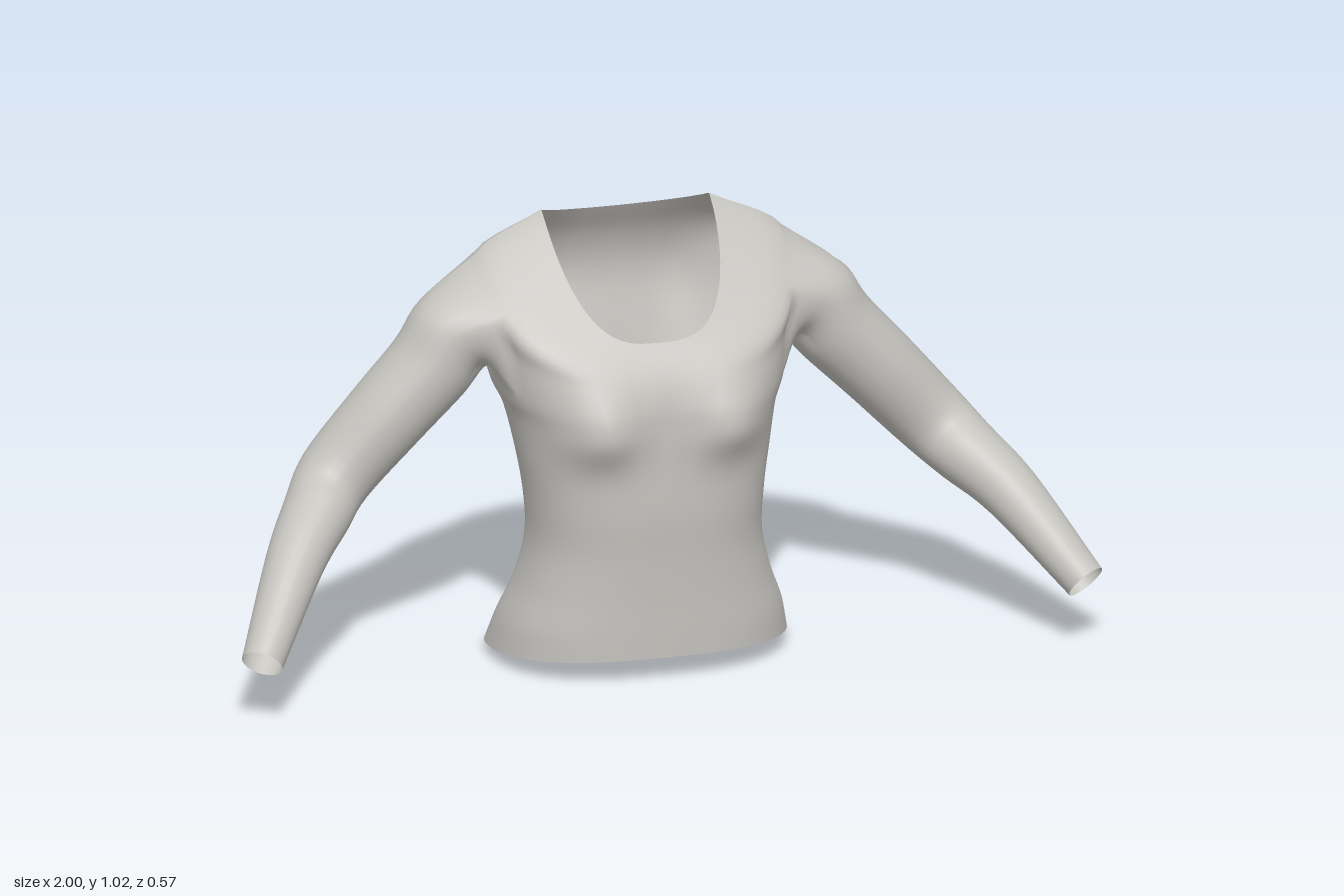
import * as THREE from 'three';

const COLS = 64, STEP = 5;          // columns around the torso, rows between key rings
const ARM = 5;                      // half width of the armhole in columns

// Key rings, hem to collar: half width, z front/side/back, y front/side/back, squareness
const RINGS = [
  [0.34, 0.19, -0.08, -0.28, 0.06, 0.03, 0.005, 0.75],
  [0.322, 0.19, -0.05, -0.228, 0.12, 0.11, 0.1, 0.75],
  [0.288, 0.19, -0.02, -0.2, 0.2, 0.2, 0.2, 0.75],
  [0.266, 0.193, -0.01, -0.19, 0.3, 0.3, 0.3, 0.75],
  [0.27, 0.198, -0.01, -0.195, 0.4, 0.4, 0.4, 0.72],
  [0.285, 0.195, -0.02, -0.215, 0.5, 0.5, 0.5, 0.7],
  [0.305, 0.185, -0.05, -0.238, 0.59, 0.6, 0.6, 0.66],
  [0.333, 0.183, -0.08, -0.257, 0.65, 0.67, 0.7, 0.64],
  [0.345, 0.174, -0.1, -0.277, 0.7, 0.81, 0.82, 0.62],
  [0.355, 0.155, -0.12, -0.262, 0.742, 0.945, 0.91, 0.62],
  [0.195, 0.125, -0.15, -0.215, 0.785, 1.025, 0.993, 0.65],
];

// Sleeve rings, shoulder to cuff: centre x, y, z and radius
const SLEEVE = [
  [0.415, 0.775, -0.095, 0.105],
  [0.473, 0.7, -0.093, 0.098],
  [0.57, 0.597, -0.095, 0.093],
  [0.69, 0.465, -0.093, 0.086],
  [0.755, 0.4, -0.025, 0.078],
  [0.835, 0.325, 0.075, 0.066],
  [0.957, 0.16, 0.24, 0.047],
];

const lerp = THREE.MathUtils.lerp;
const gauss = (d, s) => Math.exp(-(d * d) / (s * s));

function ringPoint([w, zf, zs, zb, yf, ys, yb, p], angle) {
  const c = Math.cos(angle), s = Math.sin(angle), a = Math.abs(s);
  return new THREE.Vector3(
    w * Math.sign(c) * Math.abs(c) ** p,
    lerp(ys, s > 0 ? yf : yb, a),
    lerp(zs, s > 0 ? zf : zb, a ** 0.88));
}

// Bust and shoulder blades raised from the plain torso
function shapeBody(p, angle) {
  const s = Math.sin(angle), x = Math.abs(p.x);
  if (s > 0) {
    p.z += 0.053 * Math.min(1, s * 1.5) * gauss(x - 0.155, 0.095) * gauss(p.y - 0.595, p.y > 0.595 ? 0.1 : 0.07);
  } else {
    p.z += s * 0.02 * gauss(x - 0.14, 0.09) * gauss(p.y - 0.8, 0.13);
  }
  return p;
}

function smoothPath(points) {
  return new THREE.CatmullRomCurve3(points, false, 'catmullrom', 0.5);
}

export function createModel() {
  const fabric = new THREE.MeshStandardMaterial({ color: 0xc4c2bd, side: THREE.DoubleSide });
  fabric.name = 'light grey fabric';
  const verts = [], index = [];
  const push = (p) => verts.push(p.x, p.y, p.z) / 3 - 1;
  const quad = (a, b, c, d, flip) => {
    if (flip) index.push(a, c, b, b, c, d);
    else index.push(a, b, c, b, d, c);
  };

  // Torso: one smooth column per angle, running hem to collar
  const rows = (RINGS.length - 1) * STEP;
  const low = 7 * STEP, high = 9 * STEP;
  const torso = [];
  for (let i = 0; i < COLS; i++) {
    const angle = (i / COLS) * Math.PI * 2;
    const path = smoothPath(RINGS.map((r) => ringPoint(r, angle)));
    torso.push(Array.from({ length: rows + 1 }, (_, j) => push(shapeBody(path.getPoint(j / rows), angle))));
  }
  const at = (i, j) => torso[(i + COLS) % COLS][j];
  const half = COLS / 2;
  const inArmhole = (i, j) => {
    const k = (i + ARM) % half;     // repeats on both sides
    return k < 2 * ARM && j >= low && j < high;
  };
  for (let i = 0; i < COLS; i++) {
    for (let j = 0; j < rows; j++) {
      if (!inArmhole(i, j)) quad(at(i, j), at(i, j + 1), at(i + 1, j), at(i + 1, j + 1));
    }
  }

  // Armhole edge in grid steps: top, front, bottom, back
  const edge = [];
  for (let i = -ARM; i < ARM; i++) edge.push([i, high]);
  for (let j = high; j > low; j--) edge.push([ARM, j]);
  for (let i = ARM; i > -ARM; i--) edge.push([i, low]);
  for (let j = low; j < high; j++) edge.push([-ARM, j]);

  // Frames along the sleeve
  const centres = [new THREE.Vector3(0.35, 0.815, -0.095), ...SLEEVE.map((s) => new THREE.Vector3(s[0], s[1], s[2]))];
  const frames = SLEEVE.map((s, n) => {
    const next = centres[Math.min(n + 2, centres.length - 1)];
    const t = next.clone().sub(centres[n]).normalize();
    const v = new THREE.Vector3(0, 0, 1).addScaledVector(t, -t.z).normalize();
    const u = new THREE.Vector3().crossVectors(v, t);
    return { c: centres[n + 1], r: s[3], u, v };
  });

  // Sleeves: grown from the armhole edge to the cuff
  const sleeveRows = SLEEVE.length * 5;
  for (const side of [1, -1]) {
    const columns = edge.map(([i, j]) => {
      const root = at(side > 0 ? i : half - i, j);
      const start = new THREE.Vector3().fromArray(verts, root * 3);
      start.x *= side;
      const phi = Math.atan2((start.z + 0.08) / 0.12, (start.y - 0.8) / 0.135);
      const path = smoothPath([start, ...frames.map(({ c, r, u, v }) =>
        c.clone().addScaledVector(u, r * Math.cos(phi)).addScaledVector(v, r * Math.sin(phi)))]);
      const column = [root];
      for (let n = 1; n <= sleeveRows; n++) {
        const p = path.getPoint(n / sleeveRows);
        p.x *= side;
        column.push(push(p));
      }
      return column;
    });
    columns.forEach((col, k) => {
      const next = columns[(k + 1) % columns.length];
      for (let n = 0; n < sleeveRows; n++) quad(col[n], next[n], col[n + 1], next[n + 1], side < 0);
    });
  }

  const geometry = new THREE.BufferGeometry();
  geometry.setAttribute('position', new THREE.Float32BufferAttribute(verts, 3));
  geometry.setIndex(index);
  geometry.computeVertexNormals();

  const shirt = new THREE.Mesh(geometry, fabric);
  shirt.name = 'longSleeveTop';
  const model = new THREE.Group();
  model.name = 'garment';
  model.add(shirt);
  return model;
}
